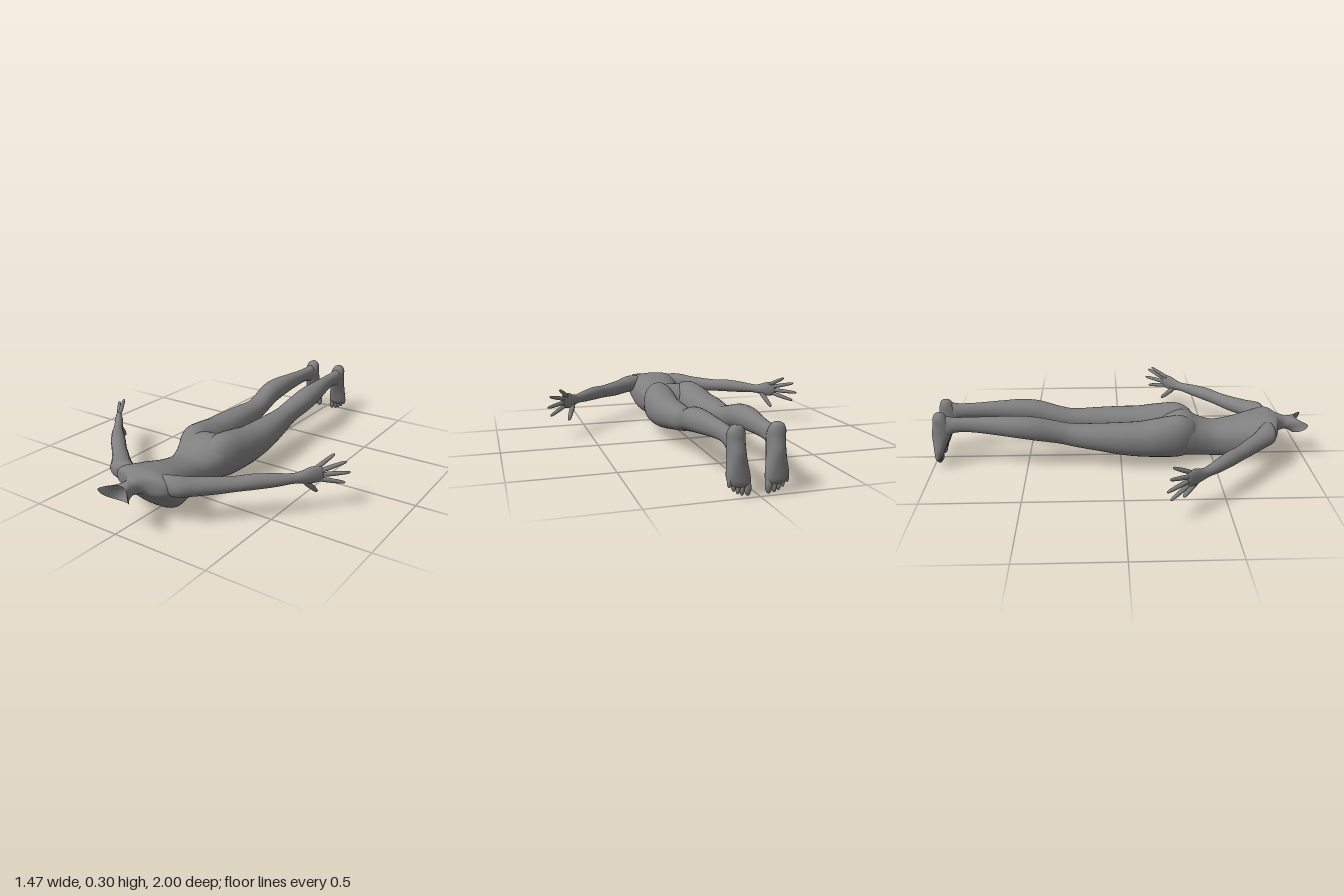
import * as THREE from 'three';

const V = (x, y, z) => new THREE.Vector3(x, y, z);
const X = V(1, 0, 0), Y = V(0, 1, 0), Z = V(0, 0, 1);
const skin = new THREE.MeshStandardMaterial({ color: 0x808080 });
const thin = new THREE.MeshStandardMaterial({ color: 0x808080, side: THREE.DoubleSide });

// Smooth loft through elliptical sections [x, y, z, radiusU, radiusV].
// power < 1 squares the section; side = -1 mirrors it in x; open leaves the last end uncapped.
function loft(name, rows, u, v, { side = 1, sides = 24, steps = 4, power = 1, open = false } = {}) {
  const pos = [], idx = [];
  const round = (t) => Math.sign(t) * Math.abs(t) ** power;
  const last = rows.length - 1, rings = last * steps + 1;
  const add = (p) => pos.push(p.x * side, p.y, p.z);
  for (let k = 0; k < rings; k++) {
    const i = Math.min(Math.floor(k / steps), last - 1), t = k / steps - i;
    const r = rows[i].map((b, c) => {
      const a = rows[Math.max(i - 1, 0)][c], d = rows[i + 1][c], e = rows[Math.min(i + 2, last)][c];
      const m0 = (d - a) / 2, m1 = (e - b) / 2, t2 = t * t, t3 = t2 * t;
      return (2 * t3 - 3 * t2 + 1) * b + (t3 - 2 * t2 + t) * m0 + (3 * t2 - 2 * t3) * d + (t3 - t2) * m1;
    });
    for (let j = 0; j < sides; j++) {
      const a = (j / sides) * Math.PI * 2;
      add(V(r[0], r[1], r[2]).addScaledVector(u, r[3] * round(Math.cos(a)))
        .addScaledVector(v, r[4] * round(Math.sin(a))));
    }
  }
  for (let k = 0; k < rings - 1; k++) {
    for (let j = 0; j < sides; j++) {
      const n = (j + 1) % sides, a = k * sides + j, b = k * sides + n;
      idx.push(a, b, a + sides, b, b + sides, a + sides);
    }
  }
  // End caps
  const first = rings * sides, top = (rings - 1) * sides;
  add(V(...rows[0].slice(0, 3)));
  add(V(...rows[last].slice(0, 3)));
  for (let j = 0; j < sides; j++) {
    const n = (j + 1) % sides;
    idx.push(first, n, j);
    if (!open) idx.push(first + 1, top + j, top + n);
  }
  // Turn the faces outward when the enclosed volume is negative
  let volume = 0;
  const at = (i) => V(pos[3 * i], pos[3 * i + 1], pos[3 * i + 2]);
  for (let i = 0; i < idx.length; i += 3) volume += at(idx[i]).dot(at(idx[i + 1]).cross(at(idx[i + 2])));
  if (volume < 0) idx.reverse();
  const g = new THREE.BufferGeometry();
  g.setAttribute('position', new THREE.Float32BufferAttribute(pos, 3));
  g.setIndex(idx);
  g.computeVertexNormals();
  const mesh = new THREE.Mesh(g, open ? thin : skin);
  mesh.name = name;
  return mesh;
}

// Section lying across z, given its top and bottom heights
const slab = (z, top, bottom, halfWidth, x = 0) => [x, (top + bottom) / 2, z, halfWidth, (top - bottom) / 2];

function makeTorso() {
  return loft('torso', [
    slab(0.195, 0.17, 0.09, 0.03), slab(0.215, 0.205, 0.06, 0.09), slab(0.26, 0.232, 0.045, 0.165),
    slab(0.32, 0.25, 0.033, 0.163), slab(0.37, 0.241, 0.024, 0.149), slab(0.42, 0.212, 0.018, 0.13),
    slab(0.5, 0.192, 0.01, 0.111), slab(0.6, 0.205, 0.007, 0.12), slab(0.68, 0.225, 0.006, 0.14),
    slab(0.73, 0.235, 0.03, 0.152), slab(0.79, 0.243, 0.09, 0.162), slab(0.825, 0.238, 0.125, 0.135),
    slab(0.845, 0.233, 0.14, 0.07), slab(0.87, 0.226, 0.146, 0.043), slab(0.89, 0.219, 0.15, 0.036),
  ], X, Y, { sides: 40, power: 0.82, open: true });
}

// Open neck that flares out into two side points
function makeCollar() {
  const g = new THREE.CylinderGeometry(1, 1, 1, 36, 10, true);
  const p = g.attributes.position;
  for (let i = 0; i < p.count; i++) {
    const c = p.getX(i), s = p.getZ(i), t = p.getY(i) + 0.5, f = t ** 2.5;
    const rimY = 0.2 + s * (s > 0 ? 0.015 : 0.068);
    p.setXYZ(i, c * (0.036 + 0.052 * f),
      THREE.MathUtils.lerp(0.184 + 0.035 * s, rimY, f),
      0.88 + t * (0.058 + 0.007 * s + 0.062 * c * c));
  }
  g.computeVertexNormals();
  const mesh = new THREE.Mesh(g, thin);
  mesh.name = 'neckCollar';
  return mesh;
}

function makeLeg(side) {
  const leg = new THREE.Group();
  leg.name = side > 0 ? 'leftLeg' : 'rightLeg';
  leg.add(loft('legAndButtock', [
    slab(0.41, 0.18, 0.1, 0.03, 0.07), slab(0.38, 0.232, 0.06, 0.06, 0.077), slab(0.31, 0.264, 0.038, 0.086, 0.088),
    slab(0.2, 0.252, 0.045, 0.096, 0.099), slab(0.1, 0.238, 0.052, 0.09, 0.106), slab(0, 0.235, 0.066, 0.085, 0.11),
    slab(-0.13, 0.232, 0.09, 0.073, 0.108), slab(-0.25, 0.231, 0.11, 0.06, 0.101), slab(-0.33, 0.246, 0.13, 0.057, 0.102),
    slab(-0.45, 0.277, 0.155, 0.06, 0.115), slab(-0.55, 0.284, 0.172, 0.059, 0.115), slab(-0.65, 0.282, 0.184, 0.047, 0.108),
    slab(-0.78, 0.277, 0.196, 0.035, 0.097), slab(-0.87, 0.275, 0.194, 0.034, 0.094), slab(-0.91, 0.281, 0.172, 0.034, 0.092),
    slab(-0.945, 0.28, 0.17, 0.028, 0.091),
  ], X, Y, { side, sides: 28, power: 0.92 }));
  // Foot hanging down from the heel, sole facing back
  leg.add(loft('foot', [
    [0.091, 0.303, -0.952, 0.01, 0.012], [0.091, 0.293, -0.95, 0.027, 0.026], [0.091, 0.27, -0.946, 0.037, 0.038],
    [0.09, 0.235, -0.938, 0.038, 0.05], [0.089, 0.19, -0.944, 0.039, 0.053], [0.088, 0.14, -0.955, 0.045, 0.041],
    [0.087, 0.09, -0.965, 0.053, 0.029], [0.083, 0.06, -0.97, 0.05, 0.022], [0.078, 0.043, -0.972, 0.035, 0.012],
  ], X, Z, { side, power: 0.9 }));
  for (let i = 0; i < 5; i++) {
    const r = i ? 0.0115 - i * 0.0005 : 0.016, tip = 0.001 + i * i * 0.0026, half = 0.036 - i * 0.003;
    const toe = new THREE.Mesh(new THREE.SphereGeometry(1, 12, 10), skin);
    toe.name = 'toe';
    toe.scale.set(r, half, i ? 0.013 : 0.016);
    toe.position.set(side * (i ? 0.053 + i * 0.019 : 0.047), tip + half, -0.973);
    leg.add(toe);
  }
  return leg;
}

function makeArm(side) {
  const arm = new THREE.Group();
  arm.name = side > 0 ? 'leftArm' : 'rightArm';
  const across = V(0.75, 0, 0.65);
  arm.add(loft('armAndPalm', [
    [0.06, 0.185, 0.79, 0.015, 0.02], [0.11, 0.187, 0.783, 0.044, 0.046], [0.165, 0.184, 0.76, 0.058, 0.049],
    [0.22, 0.179, 0.712, 0.049, 0.044], [0.29, 0.176, 0.645, 0.042, 0.041], [0.36, 0.178, 0.582, 0.038, 0.036],
    [0.42, 0.182, 0.525, 0.038, 0.037], [0.49, 0.181, 0.455, 0.032, 0.032], [0.545, 0.18, 0.395, 0.024, 0.025],
    [0.575, 0.181, 0.36, 0.023, 0.031], [0.605, 0.186, 0.325, 0.021, 0.042], [0.635, 0.189, 0.295, 0.014, 0.038],
    [0.645, 0.189, 0.285, 0.006, 0.027],
  ], across, Y, { side, sides: 20 }));
  // Thumb lowest, little finger highest: knuckle, then tip
  const fingers = [
    [V(0.575, 0.165, 0.352), V(0.613, 0.083, 0.275), 'thumb'],
    [V(0.627, 0.164, 0.302), V(0.72, 0.13, 0.203), 'finger'],
    [V(0.632, 0.183, 0.297), V(0.735, 0.18, 0.184), 'finger'],
    [V(0.63, 0.202, 0.3), V(0.72, 0.236, 0.198), 'finger'],
    [V(0.615, 0.214, 0.312), V(0.664, 0.267, 0.215), 'finger'],
  ];
  for (const [from, to, name] of fingers) {
    const fat = name === 'thumb' ? 1.35 : 1.1;
    const rows = [[0, 0.009], [0.3, 0.0105], [0.65, 0.009], [0.92, 0.0065], [1, 0.002]].map(([t, r]) =>
      [...from.clone().lerp(to, t).toArray(), r * fat, r * fat]);
    const dir = to.clone().sub(from).normalize();
    const v = dir.clone().cross(across).normalize();
    arm.add(loft(name, rows, dir.clone().cross(v), v, { side, sides: 10, steps: 3 }));
  }
  return arm;
}

export function createModel() {
  const body = new THREE.Group();
  body.name = 'lyingFigure';
  body.add(makeTorso(), makeCollar());
  for (const side of [1, -1]) body.add(makeLeg(side), makeArm(side));
  return body;
}
